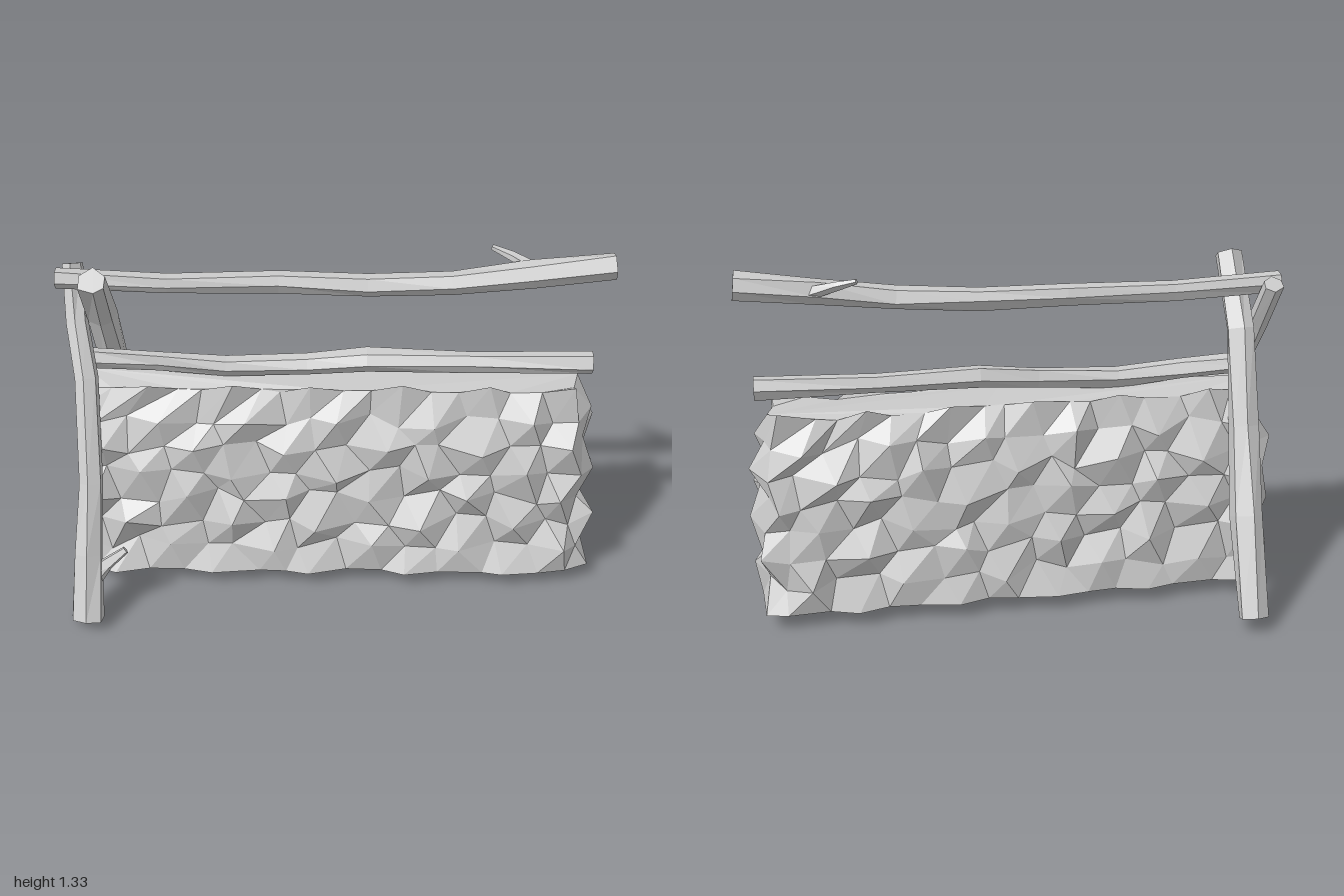
import * as THREE from 'three';

// Wall outline by height: [y, half length, half thickness]
const PROFILE = [[0.07, 0.99, 0.265], [0.25, 0.985, 0.245], [0.45, 0.985, 0.215], [0.62, 0.98, 0.195], [0.72, 0.955, 0.165], [0.8, 0.92, 0.115]];
const ROWS = 8, AROUND = 39;

let seed = 11;
const rand = () => {
  seed = (seed * 16807) % 2147483647;
  return seed / 2147483647;
};
const vary = (amount) => (rand() * 2 - 1) * amount;

// Rounded rectangle plan of the wall at height y
function planAt(y) {
  let i = 1;
  while (i < PROFILE.length - 1 && y > PROFILE[i][0]) i++;
  const [y0, x0, z0] = PROFILE[i - 1], [y1, x1, z1] = PROFILE[i];
  const t = (y - y0) / (y1 - y0);
  const hx = THREE.MathUtils.lerp(x0, x1, t), hz = THREE.MathUtils.lerp(z0, z1, t);
  const c = hz * 0.5;
  const plan = new THREE.Shape();
  plan.moveTo(-hx + c, -hz).lineTo(hx - c, -hz).quadraticCurveTo(hx, -hz, hx, -hz + c);
  plan.lineTo(hx, hz - c).quadraticCurveTo(hx, hz, hx - c, hz);
  plan.lineTo(-hx + c, hz).quadraticCurveTo(-hx, hz, -hx, hz - c);
  plan.lineTo(-hx, -hz + c).quadraticCurveTo(-hx, -hz, -hx + c, -hz);
  return plan;
}

// Triangular lattice wrapped round the wall: every third vertex is the crown
// of a stone, the vertices between are sunk to form the joints. Open below.
function wallGeometry() {
  const pos = [], index = [], topRing = [];
  for (let r = 0; r < ROWS; r++) {
    const y = THREE.MathUtils.lerp(0.07, 0.8, r / (ROWS - 1));
    const plan = planAt(y), top = r === ROWS - 1;
    for (let j = 0; j < AROUND; j++) {
      const u = ((j + r / 2 + vary(0.25)) / AROUND + 1) % 1;
      const crown = (j + 2 * r) % 3 === 0;
      const p = plan.getPointAt(u), t = plan.getTangentAt(u);
      let out = crown ? vary(0.01) : -0.045 + vary(0.02);
      if (r === 0) out *= 0.5;
      if (top) out *= 0.6;
      const x = p.x + t.y * out, z = p.y - t.x * out;
      const lift = r === 0 ? 0 : top ? (crown ? 0.03 : -0.005) + vary(0.01) : vary(0.03);
      pos.push(x, y + lift, z);
      if (top) topRing.push(new THREE.Vector2(x, z));
    }
  }
  for (let r = 0; r < ROWS - 1; r++) {
    for (let j = 0; j < AROUND; j++) {
      const k = (j + 1) % AROUND;
      const a = r * AROUND + j, b = r * AROUND + k;
      index.push(a, a + AROUND, b, b, a + AROUND, b + AROUND);
    }
  }
  const first = (ROWS - 1) * AROUND;
  for (const [a, b, c] of THREE.ShapeUtils.triangulateShape(topRing, [])) {
    index.push(first + a, first + c, first + b);
  }
  return facet(pos, index);
}

function facet(pos, index) {
  const g = new THREE.BufferGeometry();
  g.setAttribute('position', new THREE.Float32BufferAttribute(pos, 3));
  g.setIndex(index);
  const flat = g.toNonIndexed();
  flat.computeVertexNormals();
  return flat;
}

// Tapered log through [x, y, z, radius] stations, closed at both ends
function logGeometry(stations, sides = 6) {
  const pts = stations.map(([x, y, z]) => new THREE.Vector3(x, y, z));
  const pos = [], index = [], n = pts.length;
  pts.forEach((p, i) => {
    const d = pts[Math.min(i + 1, n - 1)].clone().sub(pts[Math.max(i - 1, 0)]).normalize();
    const ref = Math.abs(d.x) < 0.7 ? new THREE.Vector3(1, 0, 0) : new THREE.Vector3(0, 1, 0);
    const u = d.clone().cross(ref).normalize(), v = d.clone().cross(u);
    for (let j = 0; j < sides; j++) {
      const a = j / sides * Math.PI * 2 + vary(0.15), r = stations[i][3] * (1 + vary(0.12));
      const q = p.clone().addScaledVector(u, Math.cos(a) * r).addScaledVector(v, Math.sin(a) * r);
      pos.push(q.x, q.y, q.z);
    }
  });
  for (let i = 0; i < n - 1; i++) {
    for (let j = 0; j < sides; j++) {
      const k = (j + 1) % sides, a = i * sides + j, b = i * sides + k;
      index.push(a, b, b + sides, a, b + sides, a + sides);
    }
  }
  const last = (n - 1) * sides;
  for (let j = 1; j < sides - 1; j++) {
    index.push(0, j + 1, j, last, last + j, last + j + 1);
  }
  return facet(pos, index);
}

export function createModel() {
  seed = 11;
  const model = new THREE.Group();
  const material = new THREE.MeshStandardMaterial({ color: 0xcccccc, flatShading: true });
  const open = material.clone();
  open.side = THREE.DoubleSide;
  const add = (name, geometry, mat = material) => {
    const mesh = new THREE.Mesh(geometry, mat);
    mesh.name = name;
    model.add(mesh);
  };

  add('stoneWall', wallGeometry(), open);

  // Rails
  add('topRail', logGeometry([
    [-1, 1.2, -0.015, 0.039], [-0.6, 1.185, -0.01, 0.038], [-0.2, 1.19, -0.015, 0.042],
    [0.12, 1.19, 0, 0.045], [0.42, 1.205, 0.01, 0.044], [0.7, 1.245, 0.015, 0.05], [0.99, 1.28, 0.013, 0.053]]));
  add('topRailTwig', logGeometry([
    [0.72, 1.25, -0.01, 0.024], [0.63, 1.285, -0.05, 0.018], [0.56, 1.307, -0.075, 0.01]], 5));
  add('lowerRail', logGeometry([
    [-0.9, 0.875, 0, 0.04], [-0.65, 0.865, 0, 0.038], [-0.4, 0.848, 0.005, 0.04], [-0.1, 0.862, 0.01, 0.04],
    [0.12, 0.88, 0.012, 0.046], [0.5, 0.878, 0.012, 0.04], [0.945, 0.884, 0.02, 0.043]]));

  // Crossed legs at one end
  add('frontLeg', logGeometry([
    [-0.915, 0.032, 0.49, 0.064], [-0.905, 0.26, 0.385, 0.055], [-0.893, 0.5, 0.27, 0.05],
    [-0.905, 0.85, 0.1, 0.043], [-0.935, 1.03, 0.005, 0.04], [-0.95, 1.22, -0.092, 0.038]]));
  add('frontLegTwig', logGeometry([
    [-0.9, 0.17, 0.42, 0.04], [-0.84, 0.22, 0.395, 0.027], [-0.77, 0.265, 0.37, 0.015]], 5));
  add('backLeg', logGeometry([
    [-0.835, 0.058, -0.5, 0.06], [-0.835, 0.4, -0.335, 0.062], [-0.845, 0.7, -0.19, 0.056],
    [-0.85, 1.03, -0.045, 0.052], [-0.842, 1.27, 0.13, 0.053]]));

  return model;
}
